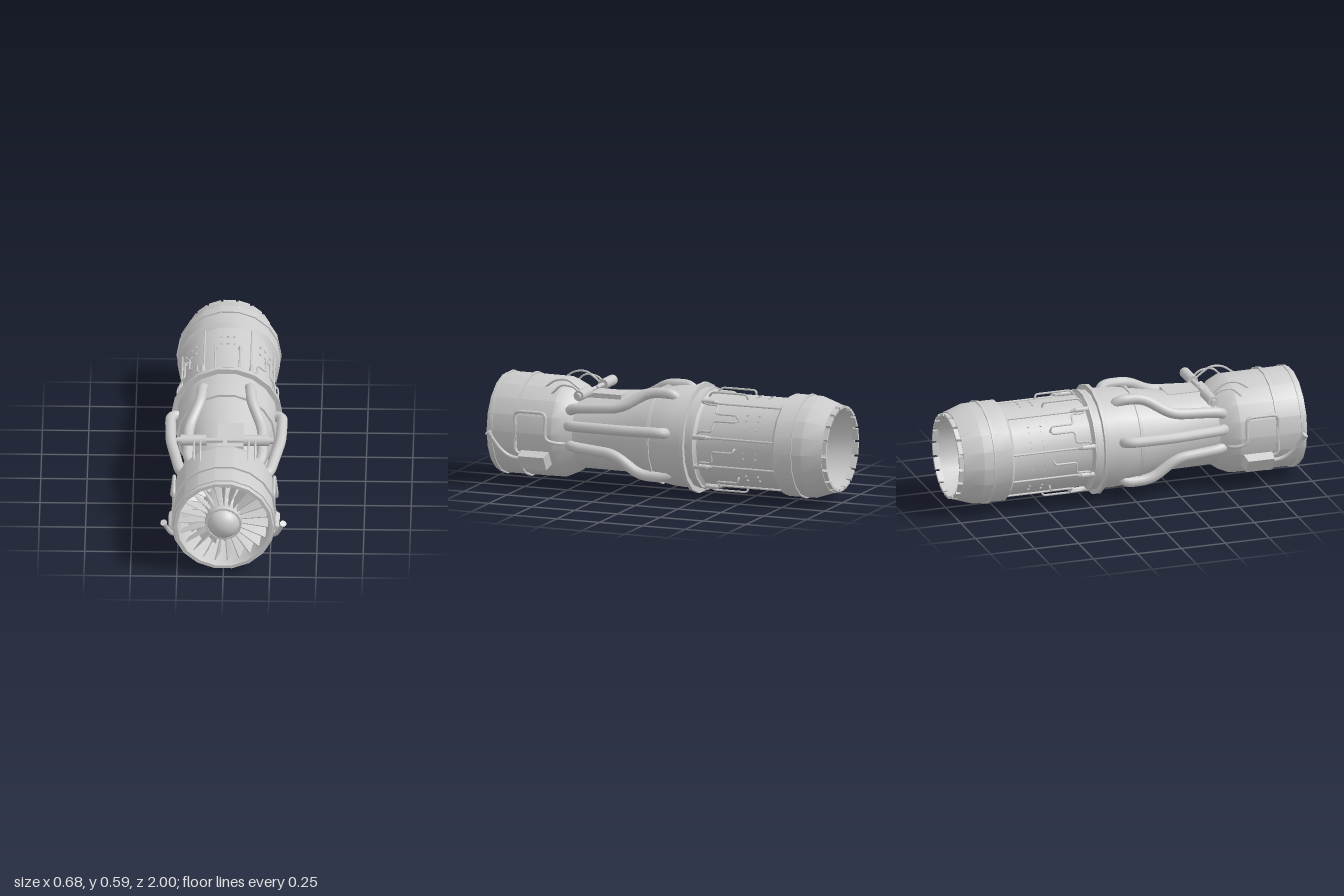
import * as THREE from 'three';
import { toCreasedNormals } from 'three/addons/utils/BufferGeometryUtils.js';

const CY = 0.297; // height of the engine axis
const RAD = Math.PI / 180;
const SIDES = 18;
const material = new THREE.MeshStandardMaterial({ color: 0xcccccc });

export function createModel() {
  const model = new THREE.Group();
  const v = (x, y, z) => new THREE.Vector3(x, y, z);
  // point from radius, angle above horizontal (degrees) and z
  const polar = (r, a, z) => v(r * Math.cos(a * RAD), CY + r * Math.sin(a * RAD), z);
  // point on the +x side from radius, height and z
  const side = (r, y, z) => v(Math.sqrt(r * r - (y - CY) ** 2), y, z);

  function add(name, geometry, parent = model) {
    const mesh = new THREE.Mesh(geometry, material);
    mesh.name = name;
    parent.add(mesh);
    return mesh;
  }

  // revolve [radius, z] points about the engine axis
  function revolve(name, points, sides = SIDES) {
    const g = new THREE.LatheGeometry(points.map(p => new THREE.Vector2(p[0], p[1])), sides, Math.PI / sides);
    g.rotateX(Math.PI / 2);
    g.translate(0, CY, 0);
    return add(name, toCreasedNormals(g, 0.45));
  }
  const ring = (name, r0, r1, z0, z1) => revolve(name, [[r0, z0], [r1, z0], [r1, z1], [r0, z1], [r0, z0]]);

  // pipe along a polyline with rounded corners and round ends
  function pipe(name, pts, radius, bend, s = 1, sides = 8) {
    const p = pts.map(q => v(q.x * s, q.y, q.z));
    const path = new THREE.CurvePath();
    let last = p[0];
    for (let i = 1; i < p.length - 1; i++) {
      const cut = q => p[i].clone().lerp(q, Math.min(0.48, bend / p[i].distanceTo(q)));
      const a = cut(p[i - 1]), b = cut(p[i + 1]);
      path.add(new THREE.LineCurve3(last, a));
      path.add(new THREE.QuadraticBezierCurve3(a, p[i], b));
      last = b;
    }
    path.add(new THREE.LineCurve3(last, p[p.length - 1]));
    add(name, new THREE.TubeGeometry(path, p.length * 10, radius, sides));
    for (const e of [p[0], p[p.length - 1]])
      add(name + 'End', new THREE.SphereGeometry(radius, sides, 6)).position.copy(e);
  }

  // cylinder between two points
  function rod(name, a, b, ra, rb = ra, sides = 10) {
    const d = b.clone().sub(a);
    const m = add(name, new THREE.CylinderGeometry(rb, ra, d.length(), sides));
    m.position.copy(a).addScaledVector(d, 0.5);
    m.quaternion.setFromUnitVectors(v(0, 1, 0), d.normalize());
    return m;
  }

  // casing with hollow exhaust and hollow intake
  revolve('casing', [
    [0, -0.5], [0.2, -0.5], [0.205, -0.75], [0.222, -0.975], [0.24, -0.975], [0.275, -0.87],
    [0.277, -0.71], [0.25, -0.69], [0.25, -0.25], [0.272, -0.235], [0.275, -0.1], [0.27, -0.03],
    [0.245, 0.1], [0.217, 0.25], [0.215, 0.49], [0.245, 0.53], [0.272, 0.59], [0.274, 0.945],
    [0.268, 0.965], [0.25, 0.965], [0.244, 0.93], [0.236, 0.6], [0, 0.6],
  ]);
  ring('intakeBand', 0.26, 0.28, 0.93, 0.945);
  ring('fanBand', 0.26, 0.283, 0.79, 0.808);
  ring('compressorBand', 0.24, 0.268, 0.025, 0.04);
  ring('mainFlange', 0.25, 0.301, -0.19, -0.17);
  ring('rearFlange', 0.24, 0.28, -0.238, -0.225);
  ring('nozzleBand', 0.26, 0.283, -0.815, -0.8);

  // nozzle petals
  for (let i = 0; i < SIDES; i++) {
    const petal = new THREE.Group();
    petal.position.y = CY;
    petal.rotation.z = i * 2 * Math.PI / SIDES;
    add('nozzlePetal', new THREE.BoxGeometry(0.066, 0.014, 0.04), petal).position.set(0, 0.225, -0.98);
    model.add(petal);
  }

  // hub and spinner
  revolve('hub', [[0.115, 0.6], [0.115, 0.86], [0.1, 0.875], [0.098, 0.945], [0.088, 0.945], [0.088, 0.92], [0, 0.92]]);
  const spinner = add('spinner', new THREE.SphereGeometry(0.089, 24, 12, 0, Math.PI * 2, 0, Math.PI / 2));
  spinner.rotation.x = Math.PI / 2;
  spinner.scale.y = 0.08 / 0.089;
  spinner.position.set(0, CY, 0.92);

  // twisted blade rows
  function bladeRow(name, count, z, r0, r1, chord, rootTwist, tipTwist) {
    const g = new THREE.BoxGeometry(0.005, r1 - r0, 1, 1, 4, 1);
    const pos = g.attributes.position;
    for (let i = 0; i < pos.count; i++) {
      const t = pos.getY(i) / (r1 - r0) + 0.5;
      const a = (rootTwist + (tipTwist - rootTwist) * t) * RAD;
      const x = pos.getX(i), c = pos.getZ(i) * chord * (0.75 + 0.25 * t);
      pos.setXYZ(i, x * Math.cos(a) + c * Math.sin(a), r0 + t * (r1 - r0), c * Math.cos(a) - x * Math.sin(a));
    }
    const blade = toCreasedNormals(g, 0.5);
    for (let i = 0; i < count; i++) {
      const m = add(name, blade);
      m.position.set(0, CY, z);
      m.rotation.z = i * 2 * Math.PI / count;
    }
  }
  bladeRow('fanBlade', 23, 0.88, 0.09, 0.243, 0.09, 4, 17);
  bladeRow('statorBlade', 20, 0.72, 0.11, 0.24, 0.1, -25, -38);

  // raised panel on the spine
  add('spinePanel', new THREE.BoxGeometry(0.14, 0.05, 0.24)).position.set(0.03, 0.488, 0.37);

  for (const s of [1, -1]) {
    // bleed ducts
    const ducts = [
      [v(0.16, 0.40, 0.53), v(0.2, 0.44, 0.5), v(0.2, 0.46, 0.22), v(0.135, 0.55, 0.07), v(0.13, 0.55, -0.08), v(0.09, 0.47, -0.09)],
      [v(0.18, 0.34, 0.53), v(0.24, 0.35, 0.5), v(0.297, 0.36, 0.18), v(0.303, 0.365, -0.07), v(0.22, 0.35, -0.08)],
      [v(0.17, 0.25, 0.53), v(0.22, 0.235, 0.5), v(0.215, 0.21, 0.24), v(0.205, 0.105, 0.1), v(0.2, 0.1, -0.06), v(0.14, 0.17, -0.07)],
    ];
    for (const d of ducts) pipe('bleedDuct', d, 0.029, 0.06, s, 10);

    // actuator canisters and their lines
    rod('canister', v(0.1 * s, 0.52, 0.44), v(0.24 * s, 0.52, 0.44), 0.029, 0.029, 12);
    rod('canisterCap', v(0.24 * s, 0.52, 0.44), v(0.262 * s, 0.52, 0.44), 0.017);
    rod('canisterRod', v(0.01 * s, 0.52, 0.44), v(0.1 * s, 0.52, 0.44), 0.012);
    pipe('fuelLine', [v(0.13, 0.52, 0.46), v(0.13, 0.55, 0.5), v(0.13, 0.583, 0.55), v(0.13, 0.575, 0.62), v(0.13, 0.53, 0.68)], 0.006, 0.03, s, 6);
    pipe('fuelLine', [v(0.165, 0.5, 0.45), v(0.165, 0.55, 0.49), v(0.165, 0.56, 0.57), v(0.165, 0.5, 0.63)], 0.006, 0.03, s, 6);

    // gearbox on the fan case, narrower at its outer face
    const boxGeo = new THREE.BoxGeometry(0.085, 0.087, 0.17);
    const bp = boxGeo.attributes.position;
    for (let i = 0; i < bp.count; i++) if (bp.getX(i) * s > 0) bp.setZ(i, bp.getZ(i) * (bp.getZ(i) < 0 ? 0.75 : 1));
    const box = add('gearbox', toCreasedNormals(boxGeo, 0.3));
    const bc = polar(0.278, -30, 0.685);
    box.position.set(bc.x * s, bc.y, bc.z);
    box.rotation.z = -30 * RAD * s;

    // intake probe with a flared mouth
    pipe('probe', [v(0.262, 0.15, 0.73), v(0.268, 0.16, 0.83), v(0.29, 0.21, 0.885), v(0.318, 0.285, 0.925)], 0.011, 0.04, s);
    rod('probeMouth', v(0.313 * s, 0.272, 0.918), v(0.322 * s, 0.3, 0.936), 0.01, 0.019);

    // looped line on the fan case
    pipe('fanCaseLine', [side(0.28, 0.18, 0.75), side(0.292, 0.19, 0.8), side(0.294, 0.415, 0.8),
      side(0.294, 0.415, 0.62), side(0.288, 0.27, 0.62), side(0.265, 0.25, 0.55), side(0.22, 0.25, 0.52)], 0.009, 0.035, s);

    // afterburner fuel lines with nozzles
    for (const a of [60, 12, -25, -70]) {
      const dir = s > 0 ? a : 180 - a;
      rod('fuelNozzle', polar(0.262, dir, -0.235), polar(0.262, dir, -0.31), 0.015, 0.013, 8);
      rod('nozzleTip', polar(0.262, dir, -0.31), polar(0.257, dir, -0.335), 0.013, 0.006, 8);
      rod('fuelRail', polar(0.253, dir, -0.3), polar(0.253, dir, -0.7), 0.006, 0.006, 6);
    }
    for (const [a, b] of [[60, 41], [12, 32], [-25, -4], [-70, -46]]) {
      pipe('burnerLine', [polar(0.258, a, -0.25), polar(0.272, a + (b - a) * 0.35, -0.27), polar(0.272, a + (b - a) * 0.35, -0.345),
        polar(0.272, b, -0.345), polar(0.272, b, -0.47), polar(0.265, b + (b - a) * 0.2, -0.475), polar(0.24, b + (b - a) * 0.2, -0.475)], 0.0055, 0.02, s, 6);
    }
    // stand-off lines above and below the burner section
    for (const a of [76, -78])
      pipe('standoffLine', [polar(0.25, a, -0.25), polar(0.276, a, -0.27), polar(0.276, a, -0.47), polar(0.24, a, -0.475)], 0.006, 0.02, s, 6);

    // bolt clusters
    for (const a of [86, 42, 22, -8, -42])
      for (const z of [-0.52, -0.59])
        for (const da of [-4, 4]) {
          const c = s > 0 ? a + da : 180 - a - da;
          rod('bolt', polar(0.24, c, z), polar(0.254, c, z), 0.007, 0.007, 6);
        }
  }
  return model;
}
